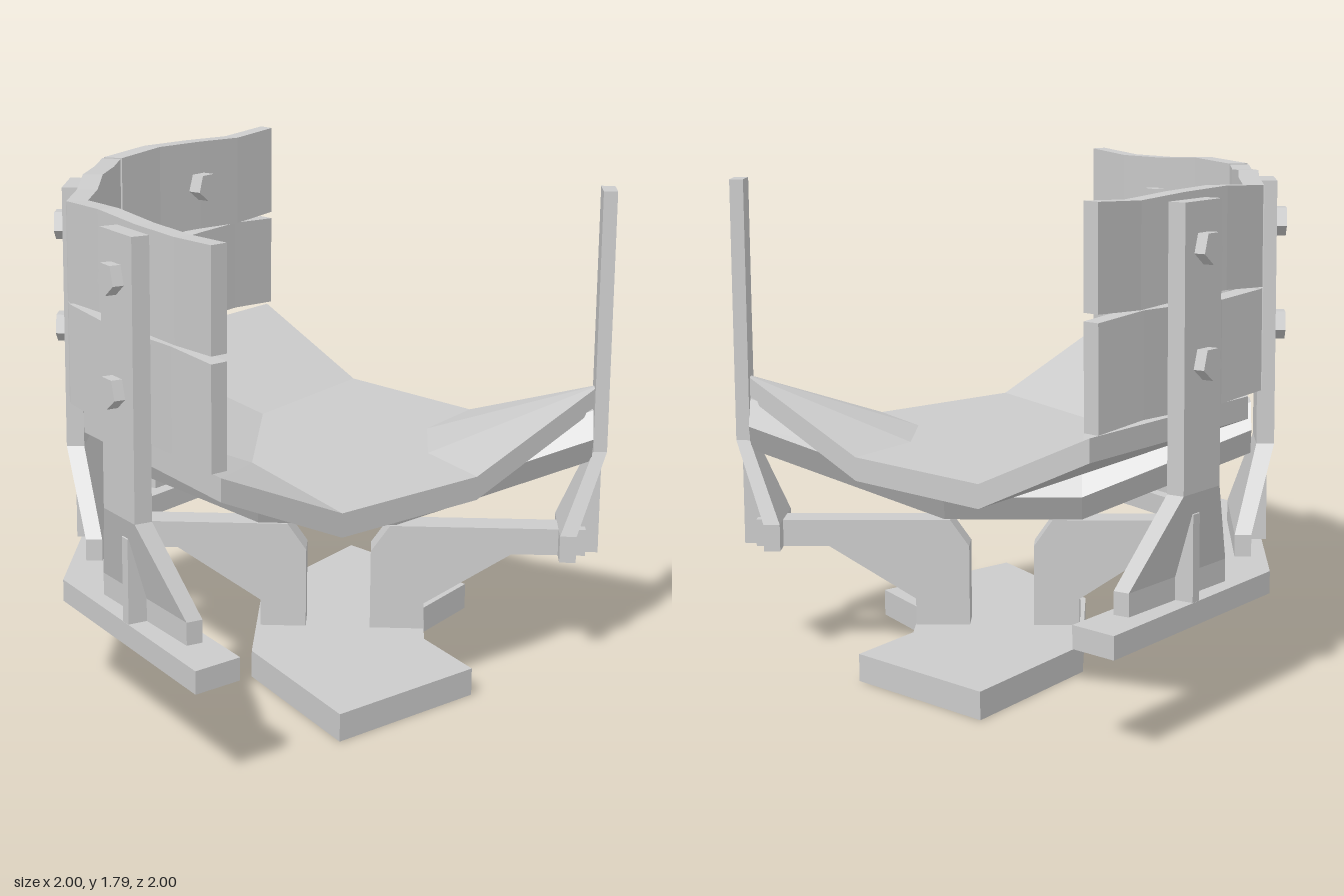
import * as THREE from 'three';

const C = 0.94; // pivot corner in x and z
const MAT = new THREE.MeshStandardMaterial({ color: 0xcccccc, flatShading: true });
const V = (x, y, z) => new THREE.Vector3(x, y, z);

function mesh(name, geo, parent) {
  const m = new THREE.Mesh(geo, MAT);
  m.name = name;
  parent.add(m);
  return m;
}

// Joins equal cross-sections (upper edge out, lower edge back) into a capped solid.
function loft(sections) {
  const tris = [];
  const n = sections[0].length;
  const quad = (a, b, c, d) => tris.push([a, b, c], [a, c, d]);
  for (let s = 0; s < sections.length - 1; s++) {
    for (let i = 0; i < n; i++) {
      const j = (i + 1) % n;
      quad(sections[s][i], sections[s][j], sections[s + 1][j], sections[s + 1][i]);
    }
  }
  const first = sections[0], last = sections[sections.length - 1];
  for (let i = 0; i < n / 2 - 1; i++) {
    quad(first[i], first[n - 1 - i], first[n - 2 - i], first[i + 1]);
    quad(last[i], last[i + 1], last[n - 2 - i], last[n - 1 - i]);
  }
  // Faces are turned outward by the sign of the volume; empty faces are dropped.
  let volume = 0;
  const solid = tris.filter(([a, b, c]) => new THREE.Triangle(a, b, c).getArea() > 1e-8);
  for (const [a, b, c] of solid) volume += a.dot(b.clone().cross(c));
  const pts = solid.flatMap(([a, b, c]) => (volume > 0 ? [a, b, c] : [a, c, b]));
  const geo = new THREE.BufferGeometry().setFromPoints(pts);
  geo.computeVertexNormals();
  return geo;
}

// Point on a quarter ring: i = 0..3 in steps of 30 degrees around the corner.
function ringPoint(rEnd, rMid, i, y) {
  const r = i === 0 || i === 3 ? rEnd : rMid;
  const a = (i * Math.PI) / 6;
  return V(C - r * Math.cos(a), y, C - r * Math.sin(a));
}

// Profile rows of [rEnd, rMid, y] turned through the quarter.
const sector = (profile) =>
  loft([0, 1, 2, 3].map((i) => profile.map(([a, b, y]) => ringPoint(a, b, i, y))));

const slab = (inner, outer, y0, y1) =>
  sector([[...inner, y1], [...outer, y1], [...outer, y0], [...inner, y0]]);

// Stack of rectangles: rows of [y, width, z0, z1].
const column = (rows) =>
  loft(rows.map(([y, w, z0, z1]) => [V(-w / 2, y, z1), V(w / 2, y, z1), V(w / 2, y, z0), V(-w / 2, y, z0)]));

// Side outline in (z, y), given width along x.
function sidePlate(points, width) {
  const shape = new THREE.Shape(points.map(([z, y]) => new THREE.Vector2(z, y)));
  const geo = new THREE.ExtrudeGeometry(shape, { depth: width, bevelEnabled: false });
  return geo.translate(0, 0, -width / 2).rotateY(-Math.PI / 2);
}

// Bent board spanning one third of the fence.
function plank(seg, y0, height, phase) {
  const outer = [seg, seg + 1].map((i) => ringPoint(1.87, 1.95, i, 0));
  const inner = [seg, seg + 1].map((i) => ringPoint(1.805, 1.875, i, 0));
  const sections = [];
  for (let k = 0; k <= 4; k++) {
    const t = THREE.MathUtils.lerp(seg === 0 ? 0 : 0.008, seg === 2 ? 1 : 0.992, k / 4);
    const o = outer[0].clone().lerp(outer[1], t);
    const i = inner[0].clone().lerp(inner[1], t);
    const wave = 0.009 * Math.sin(k * 1.9 + phase);
    const bend = k % 4 ? 0.008 * Math.sin(k * 2.1 + phase) : 0;
    const out = o.clone().sub(i).setLength(bend);
    o.add(out);
    i.add(out);
    const top = y0 + height + wave, low = y0 + wave;
    sections.push([V(i.x, top, i.z), V(o.x, top, o.z), V(o.x, low, o.z), V(i.x, low, i.z)]);
  }
  return loft(sections);
}

export function createModel() {
  const model = new THREE.Group();

  // Trough-shaped dish, base plate and raised foot ring
  mesh('dish', sector([
    [1.83, 1.9, 1.04], [1.3, 1.3, 0.815], [0.65, 0.65, 0.815], [0, 0, 1.04],
    [0, 0, 0.96], [0.65, 0.65, 0.73], [1.3, 1.3, 0.73], [1.83, 1.9, 0.96],
  ]), model);
  mesh('floorPlate', slab([0.65, 0.65], [1.3, 1.3], 0, 0.1), model);
  mesh('footRing', slab([1.75, 1.8], [1.94, 1.985], 0.34, 0.42), model);

  // Fence: boards, uprights and bolts
  for (let seg = 0; seg < 3; seg++) {
    mesh('lowerBoard', plank(seg, 1.06, 0.355, seg * 1.3), model);
    mesh('upperBoard', plank(seg, 1.432, 0.35, seg * 1.7 + 2), model);

    const a = ringPoint(1.87, 1.95, seg, 0), b = ringPoint(1.87, 1.95, seg + 1, 0);
    const along = b.clone().sub(a);
    const support = new THREE.Group();
    support.name = 'fenceSupport';
    support.position.copy(a).add(b).multiplyScalar(0.5);
    support.rotation.y = Math.atan2(along.z, -along.x); // local z points outward
    model.add(support);

    mesh('upright', column([
      [0.42, 0.59, -0.08, -0.02], [0.5, 0.59, -0.08, -0.02],
      [0.8, 0.22, 0.005, 0.07], [1.76, 0.22, 0.005, 0.07],
    ]), support);
    mesh('gusset', sidePlate([[-0.04, 0.42], [0.05, 0.42], [0.05, 0.72], [0.02, 0.74], [-0.04, 0.5]], 0.04), support);
    for (const y of [1.23, 1.61]) {
      const bolt = new THREE.CylinderGeometry(0.058, 0.058, 0.23, 5).rotateX(Math.PI / 2);
      mesh('bolt', bolt, support).position.set(0, y, -0.005);
    }
  }

  // Diagonal frame: local z runs from the corner toward the fence
  const frame = new THREE.Group();
  frame.name = 'diagonalFrame';
  frame.position.set(C, 0, C);
  frame.rotation.y = -0.75 * Math.PI;
  model.add(frame);

  mesh('innerStrut', sidePlate([
    [0.04, 0.4], [0.31, 0.4], [0.63, 0.2], [0.63, 0.1], [0.83, 0.1], [0.83, 0.4], [0.76, 0.5], [0.04, 0.5],
  ], 0.12), frame);
  mesh('outerStrut', sidePlate([
    [1.765, 0.4], [1.55, 0.4], [1.24, 0.2], [1.24, 0.1], [1.07, 0.1], [1.07, 0.4], [1.14, 0.5], [1.765, 0.5],
  ], 0.12), frame);

  // Six-sided bent beam under the dish
  const hex = [[-0.11, 0], [-0.055, 0.095], [0.055, 0.095], [0.11, 0], [0.055, -0.095], [-0.055, -0.095]];
  const path = [[0.03, 0.86], [0.74, 0.597], [1.25, 0.597], [1.87, 0.85]];
  mesh('hexBeam', loft(path.map(([z, y]) => hex.map(([x, h]) => V(x, y + h, z)))), frame);

  // Corner post with flared foot
  mesh('cornerPost', column([
    [0.4, 0.29, 0.08, 0.14], [0.5, 0.29, 0.08, 0.14],
    [0.8, 0.12, -0.025, 0.025], [1.76, 0.12, -0.025, 0.025],
  ]), frame);
  mesh('postGusset', sidePlate([[0.1, 0.4], [-0.01, 0.4], [-0.01, 0.72], [0.02, 0.74], [0.1, 0.5]], 0.03), frame);

  return model;
}
